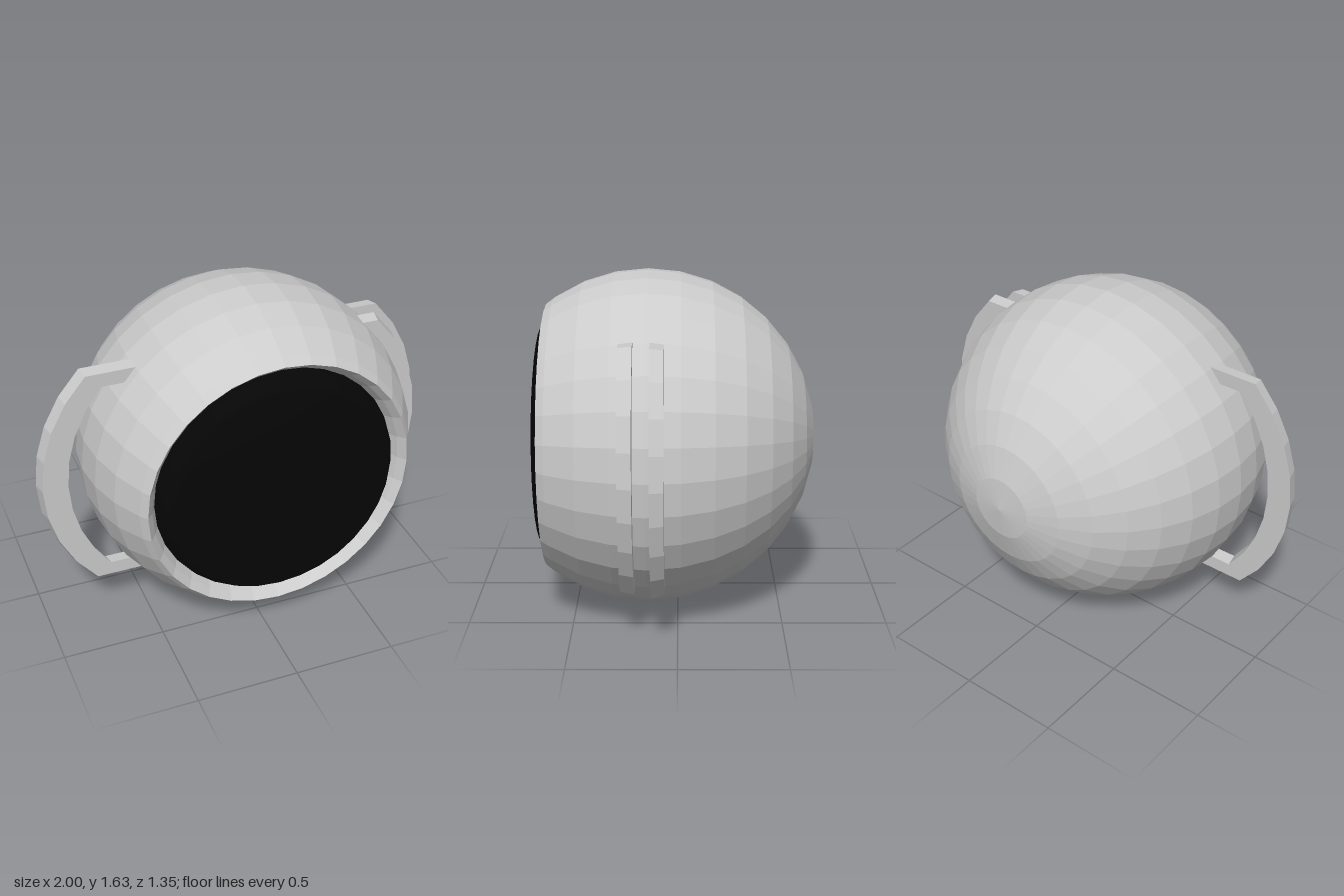
import * as THREE from 'three';

const CX = 0.055, CY = 0.825, CZ = 0.145, R = 0.817;

export function createModel() {
  const group = new THREE.Group();
  const grey = new THREE.MeshStandardMaterial({ color: 0xcccccc, flatShading: true, side: THREE.DoubleSide });
  const black = new THREE.MeshStandardMaterial({ color: 0x060606, side: THREE.DoubleSide });

  function add(name, geometry, material) {
    const mesh = new THREE.Mesh(geometry, material);
    mesh.name = name;
    group.add(mesh);
    return mesh;
  }

  // Turned part whose axis points to the front; profile is [radius, z from ball centre]
  function turned(name, profile, material) {
    const pts = profile.map(([r, z]) => new THREE.Vector2(r, z));
    const mesh = add(name, new THREE.LatheGeometry(pts, 32), material);
    mesh.rotation.x = Math.PI / 2;
    mesh.position.set(CX, CY, CZ);
  }

  // Ball shell, cut off at the front, with the rim turning inwards
  const shell = [];
  for (let i = 0; i <= 11; i++) {
    const a = -Math.PI / 2 + (i * Math.PI) / 16;
    shell.push([Math.max(0, R * Math.cos(a)), R * Math.sin(a)]);
  }
  shell.push([0.651, 0.492], [0.62, 0.455], [0.59, 0.4]);
  turned('ballShell', shell, grey);

  // Dark lens disc with a rounded edge
  turned('lens', [[0.595, 0.39], [0.595, 0.42], [0.582, 0.46], [0.555, 0.5], [0.53, 0.525], [0, 0.53]], black);

  // Bowed handle: reach is the outermost distance from the ball axis,
  // side is +1 or -1, wide is the end of z where the handle is slightly larger
  function handle(name, side, reach, zBack, zFront, wideFront) {
    const n = 8, outer = [], inner = [];
    const arc = (list, half, sagitta, tip) => {
      const rad = (half * half + sagitta * sagitta) / (2 * sagitta);
      const span = Math.asin(half / rad);
      for (let i = 0; i <= n; i++) {
        const a = span * (1 - (2 * i) / n);
        list.push(new THREE.Vector2(side * (tip - rad + rad * Math.cos(a)), rad * Math.sin(a)));
      }
    };
    arc(outer, 0.58, 0.24, reach);
    arc(inner, 0.51, 0.185, reach - 0.125);
    const root = side * 0.5;
    const shape = new THREE.Shape([
      new THREE.Vector2(root, 0.58), ...outer, new THREE.Vector2(root, -0.58),
      new THREE.Vector2(root, -0.51), ...inner.reverse(), new THREE.Vector2(root, 0.51),
    ]);
    const depth = zFront - zBack;
    const geo = new THREE.ExtrudeGeometry(shape, { depth, bevelEnabled: false });
    // Slight taper through the thickness
    const p = geo.attributes.position;
    for (let i = 0; i < p.count; i++) {
      const front = p.getZ(i) > depth / 2;
      if (front !== wideFront) p.setXY(i, p.getX(i) * 0.985, p.getY(i) * 0.985);
    }
    geo.computeVertexNormals();
    add(name, geo, grey).position.set(CX, CY, zBack);
  }
  handle('rightHandle', -1, 1.055, 0.2, 0.265, false);
  handle('leftFrontHandle', 1, 0.895, 0.2, 0.265, false);
  handle('leftRearHandle', 1, 0.945, 0.06, 0.123, true);

  return group;
}
